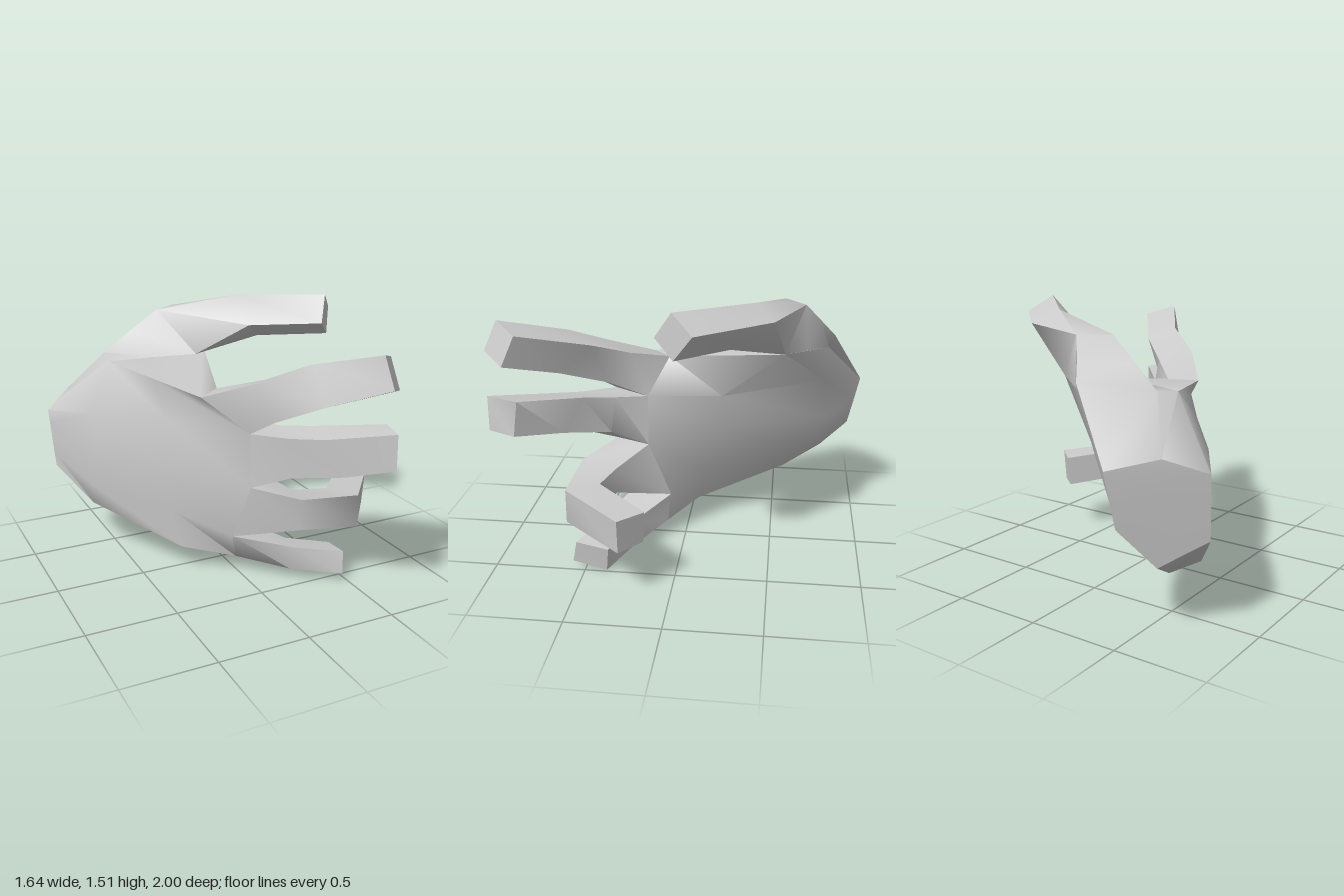
import * as THREE from 'three';
import { toCreasedNormals } from 'three/addons/utils/BufferGeometryUtils.js';

const material = new THREE.MeshStandardMaterial({ color: 0xcccccc, side: THREE.DoubleSide });

// Skin a list of equal-sized cross-sections, optionally closing the ends
function loft(name, rings, capStart, capEnd) {
  const pos = [];
  const tri = (a, b, c) => pos.push(...a, ...b, ...c);
  const n = rings[0].length;
  for (let r = 0; r + 1 < rings.length; r++) {
    const a = rings[r], b = rings[r + 1];
    for (let i = 0; i < n; i++) {
      const j = (i + 1) % n;
      tri(a[i], a[j], b[j]);
      tri(a[i], b[j], b[i]);
    }
  }
  const last = rings[rings.length - 1];
  for (let i = 1; i + 1 < n; i++) {
    if (capStart) tri(rings[0][0], rings[0][i + 1], rings[0][i]);
    if (capEnd) tri(last[0], last[i], last[i + 1]);
  }
  const geometry = new THREE.BufferGeometry();
  geometry.setAttribute('position', new THREE.Float32BufferAttribute(pos, 3));
  const mesh = new THREE.Mesh(toCreasedNormals(geometry, 1.1), material);
  mesh.name = name;
  return mesh;
}

// Palm sections: five points down the back of the hand, five up the inside
const wrist = [
  [-0.82, 0.83, -0.68], [-0.815, 0.75, -0.67], [-0.81, 0.66, -0.66], [-0.805, 0.57, -0.65], [-0.8, 0.49, -0.64],
  [-0.6, 0.36, -0.79], [-0.47, 0.57, -0.94], [-0.46, 0.71, -0.97], [-0.45, 0.86, -1], [-0.65, 0.91, -0.83],
];
const heel = [
  [-0.5, 1.14, -0.46], [-0.64, 0.86, -0.4], [-0.65, 0.62, -0.39], [-0.65, 0.42, -0.4], [-0.64, 0.29, -0.45],
  [-0.52, 0.235, -0.56], [-0.42, 0.42, -0.74], [-0.32, 0.65, -0.78], [-0.21, 0.92, -0.78], [-0.2, 1.12, -0.79],
];
const middlePalm = [
  [-0.36, 1.1, -0.13], [-0.34, 0.9, -0.01], [-0.33, 0.6, 0], [-0.32, 0.36, 0.01], [-0.28, 0.14, 0.05],
  [-0.17, 0.15, -0.06], [-0.13, 0.35, -0.1], [-0.08, 0.64, -0.14], [-0.06, 0.85, -0.2], [0.13, 1.165, -0.55],
];
const knuckles = [
  [-0.22, 1.06, 0.2], [-0.03, 0.89, 0.4], [-0.02, 0.585, 0.4], [-0.08, 0.27, 0.3], [-0.01, 0.09, 0.2],
  [0.05, 0.1, 0.1], [0.05, 0.27, 0.08], [0.1, 0.6, 0.2], [0.1, 0.89, 0.2], [-0.08, 1.07, 0.1],
];

// Finger sections: outer top, outer bottom, inner bottom, inner top
const fingers = {
  indexFinger: [
    [[-0.02, 1.175, 0.45], [0.05, 0.98, 0.53], [0.16, 0.98, 0.4], [0.11, 1.14, 0.29]],
    [[0.2, 1.285, 0.61], [0.21, 1.09, 0.73], [0.36, 1.09, 0.62], [0.3, 1.23, 0.46]],
    [[0.41, 1.38, 0.93], [0.425, 1.22, 1], [0.555, 1.175, 0.87], [0.54, 1.335, 0.8]],
  ],
  middleFinger: [
    [[0.1, 0.9, 0.58], [0.12, 0.68, 0.58], [0.16, 0.69, 0.4], [0.17, 0.9, 0.37]],
    [[0.22, 0.925, 0.74], [0.3, 0.735, 0.81], [0.35, 0.75, 0.62], [0.28, 0.93, 0.53]],
    [[0.475, 0.99, 0.985], [0.48, 0.8, 0.985], [0.555, 0.8, 0.83], [0.535, 0.985, 0.81]],
  ],
  ringFinger: [
    [[0.2, 0.535, 0.56], [0.2, 0.355, 0.55], [0.25, 0.36, 0.36], [0.26, 0.51, 0.36]],
    [[0.55, 0.505, 0.575], [0.55, 0.32, 0.575], [0.45, 0.335, 0.41], [0.45, 0.505, 0.41]],
    [[0.82, 0.48, 0.25], [0.805, 0.295, 0.25], [0.68, 0.3, 0.14], [0.69, 0.475, 0.13]],
  ],
  littleFinger: [
    [[0.23, 0.195, 0.43], [0.22, 0.06, 0.42], [0.28, 0.04, 0.27], [0.27, 0.18, 0.28]],
    [[0.49, 0.165, 0.545], [0.475, 0.04, 0.57], [0.485, 0, 0.38], [0.51, 0.14, 0.365]],
  ],
};

// Thumb sections: top, front, bottom, back; its underside meets the palm edge
const thumb = [
  [wrist[9], wrist[0], [-0.46, 0.84, -0.98], wrist[8]],
  [[-0.48, 1.16, -0.61], heel[0], heel[9], [-0.16, 1.2, -0.82]],
  [[-0.33, 1.28, -0.575], [-0.25, 1.15, -0.41], [-0.03, 1.145, -0.67], [-0.1, 1.3, -0.735]],
  [[-0.17, 1.4, -0.54], [0.0, 1.155, -0.355], middlePalm[9], [-0.03, 1.4, -0.65]],
  [[0.29, 1.48, -0.39], [0.27, 1.33, -0.2], [0.36, 1.25, -0.27], [0.4, 1.41, -0.49]],
  [[0.66, 1.51, -0.01], [0.585, 1.365, 0.085], [0.685, 1.28, -0.02], [0.755, 1.42, -0.12]],
];

export function createModel() {
  const hand = new THREE.Group();
  hand.name = 'hand';
  hand.add(loft('wristEnd', [wrist], true, false));
  hand.add(loft('palm', [wrist, heel, middlePalm, knuckles], false, false));
  hand.add(loft('thumb', thumb, false, true));
  // Each finger grows out of its own part of the knuckle section
  Object.entries(fingers).forEach(([name, rings], i) => {
    const root = [i, i + 1, 8 - i, 9 - i].map((k) => knuckles[k]);
    hand.add(loft(name, [root, ...rings], false, true));
  });
  return hand;
}
